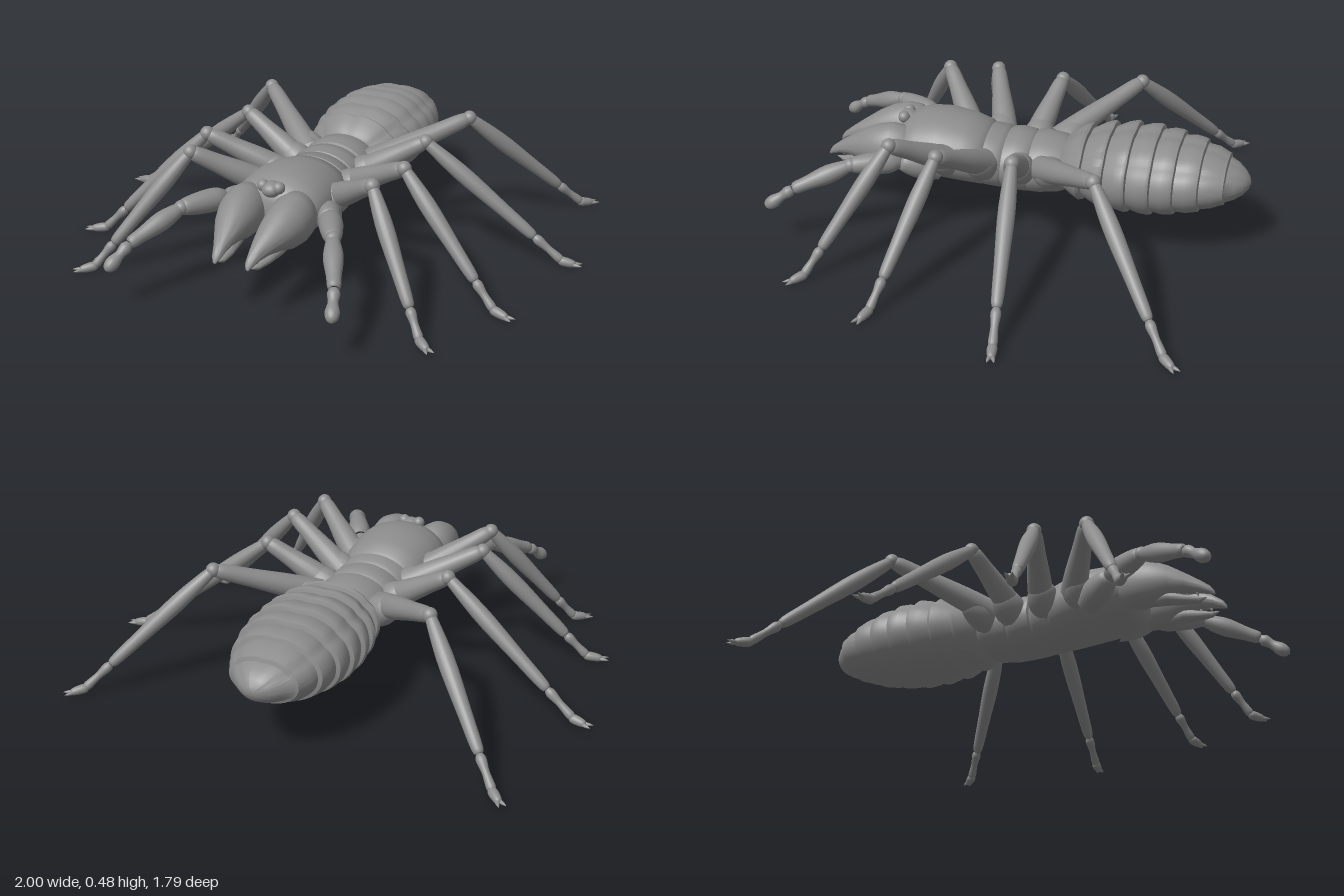
import * as THREE from 'three';
import { toCreasedNormals } from 'three/addons/utils/BufferGeometryUtils.js';

const grey = new THREE.MeshStandardMaterial({ color: 0x8c8c8c });
const V = (x, y, z) => new THREE.Vector3(x, y, z);
const UP = V(0, 1, 0);

function add(parent, name, geometry) {
  const m = new THREE.Mesh(geometry, grey);
  m.name = name;
  parent.add(m);
  return m;
}

// Skin over oval sections [z, centreX, halfWidth, top, bottom], z increasing.
// swell(angle) scales the section around its outline.
function loft(rings, swell = () => 1, n = 48) {
  const pos = [], idx = [];
  rings.forEach(([z, cx, w, top, bot], i) => {
    const cy = (top + bot) / 2, h = (top - bot) / 2;
    for (let j = 0; j < n; j++) {
      const a = (j / n) * Math.PI * 2, k = swell(a);
      pos.push(cx + Math.cos(a) * w * k, cy + Math.sin(a) * h * k, z);
      if (i === rings.length - 1) continue;
      const p = i * n + j, q = i * n + ((j + 1) % n);
      idx.push(p, q, p + n, q, q + n, p + n);
    }
  });
  const g = new THREE.BufferGeometry();
  g.setAttribute('position', new THREE.Float32BufferAttribute(pos, 3));
  g.setIndex(idx);
  return toCreasedNormals(g, 0.75);
}

// Round limb segment from a to b, with profile [fraction along, radius]
function limb(parent, name, a, b, profile) {
  const d = b.clone().sub(a), len = d.length();
  const curve = new THREE.SplineCurve(profile.map(([t, r]) => new THREE.Vector2(r, t * len)));
  const pts = curve.getPoints(16).map(p => new THREE.Vector2(Math.max(p.x, 0), p.y));
  const m = add(parent, name, new THREE.LatheGeometry(pts, 20));
  m.position.copy(a);
  m.quaternion.setFromUnitVectors(UP, d.normalize());
  return m;
}

function ball(parent, name, p, rx, ry = rx, rz = rx) {
  const m = add(parent, name, new THREE.SphereGeometry(1, 20, 14));
  m.position.copy(p);
  m.scale.set(rx, ry, rz);
  return m;
}

// Abdomen of overlapping ringed plates
function abdomen() {
  // plate borders from tail to waist: [z, halfWidth, top, bottom]
  const B = [[-0.81, 0.135, 0.375, 0.205], [-0.72, 0.18, 0.415, 0.17], [-0.63, 0.205, 0.435, 0.15],
    [-0.545, 0.218, 0.447, 0.138], [-0.455, 0.219, 0.45, 0.136], [-0.365, 0.207, 0.44, 0.142],
    [-0.275, 0.184, 0.423, 0.157], [-0.19, 0.15, 0.395, 0.18]];
  const rings = [[-0.9, 0, 0.001, 0.286, 0.284], [-0.893, 0, 0.03, 0.307, 0.262],
    [-0.875, 0, 0.062, 0.328, 0.24], [-0.845, 0, 0.097, 0.35, 0.222]];
  const d = 0.013;
  B.forEach(([z, w, t, b], i) => {
    // tucked front of the plate behind, then the raised rim of this plate
    rings.push([z - 0.004, 0, w - d, t - d, b + d * 0.6]);
    if (i === B.length - 1) return;
    const [z2, w2, t2, b2] = B[i + 1];
    rings.push([z, 0, w + 0.002, t + 0.002, b - 0.002]);
    rings.push([z + 0.012, 0, w + 0.007, t + 0.006, b - 0.005]);
    rings.push([(z + z2) / 2, 0, (w + w2) / 2 + 0.003, (t + t2) / 2 + 0.002, (b + b2) / 2 - 0.002]);
  });
  rings.push([-0.16, 0, 0.08, 0.34, 0.23], [-0.15, 0, 0.001, 0.286, 0.284]);
  const groove = a => {
    const u = Math.abs(a - Math.PI / 2);
    return 1 - 0.045 * Math.exp(-((u / 0.16) ** 2)) - 0.035 * Math.exp(-(((u - 0.9) / 0.12) ** 2));
  };
  return loft(rings, groove, 72);
}

// Claw-tipped walking leg
function leg(root, s, name, hip, knee, heel, tip) {
  const g = new THREE.Group();
  g.name = name;
  root.add(g);
  const [h, k, e, t] = [hip, knee, heel, tip].map(p => V(p[0] * s, p[1], p[2]));
  const inner = V(h.x * 0.55, h.y - 0.05, h.z);
  limb(g, 'coxa', inner, h.clone().lerp(k, 0.25), [[0, 0.05], [0.5, 0.062], [0.85, 0.05], [1, 0.03]]);
  limb(g, 'femur', h, k, [[0, 0.05], [0.3, 0.046], [0.65, 0.036], [0.92, 0.03], [1, 0.018]]);
  ball(g, 'knee', k, 0.028);
  const ankle = k.clone().lerp(e, 0.8);
  limb(g, 'tibia', k, ankle, [[0, 0.018], [0.08, 0.024], [0.35, 0.032], [0.7, 0.026], [0.96, 0.021], [1, 0.01]]);
  limb(g, 'metatarsus', ankle, e, [[0, 0.012], [0.15, 0.019], [0.5, 0.014], [0.9, 0.017], [1, 0.012]]);
  // flat foot with a pair of claws
  const dir = V(t.x - e.x, 0, t.z - e.z).normalize(), side = V(-dir.z, 0, dir.x);
  const toe = t.clone().addScaledVector(dir, -0.025);
  limb(g, 'foot', e.clone().addScaledVector(dir, -0.015), toe,
    [[0, 0.004], [0.2, 0.017], [0.6, 0.017], [0.9, 0.012], [1, 0]]);
  for (const c of [-1, 1])
    limb(g, 'claw', toe.clone().addScaledVector(dir, -0.012).addScaledVector(side, c * 0.005),
      t.clone().addScaledVector(side, c * 0.014), [[0, 0.008], [0.5, 0.006], [1, 0]]);
}

export function createModel() {
  const root = new THREE.Group();
  root.name = 'arachnid';

  add(root, 'abdomen', abdomen());

  // Hull, three narrow back plates and the domed head shield
  add(root, 'thorax', loft([
    [-0.25, 0, 0.001, 0.281, 0.279], [-0.24, 0, 0.1, 0.35, 0.2], [-0.19, 0, 0.128, 0.368, 0.17],
    [-0.17, 0, 0.14, 0.378, 0.163], [-0.1, 0, 0.15, 0.385, 0.152], [-0.065, 0, 0.148, 0.38, 0.15],
    [-0.06, 0, 0.138, 0.368, 0.15], [-0.045, 0, 0.15, 0.38, 0.15], [0.0, 0, 0.153, 0.385, 0.15],
    [0.04, 0, 0.15, 0.38, 0.152], [0.045, 0, 0.14, 0.37, 0.152], [0.06, 0, 0.153, 0.384, 0.153],
    [0.115, 0, 0.155, 0.388, 0.156], [0.12, 0, 0.146, 0.377, 0.157], [0.135, 0, 0.162, 0.395, 0.158],
    [0.2, 0, 0.174, 0.415, 0.163], [0.3, 0, 0.18, 0.43, 0.17], [0.38, 0, 0.177, 0.424, 0.18],
    [0.43, 0, 0.165, 0.407, 0.19], [0.465, 0, 0.135, 0.38, 0.21], [0.48, 0, 0.08, 0.345, 0.245],
    [0.485, 0, 0.001, 0.301, 0.299]], () => 1, 56));

  // Eye mound
  ball(root, 'eyeMound', V(0, 0.385, 0.455), 0.038, 0.03, 0.04);

  for (const s of [1, -1]) {
    const side = s > 0 ? 'left' : 'right';
    ball(root, side + 'Eye', V(s * 0.032, 0.397, 0.462), 0.023);

    // Jaw: swollen base, hooked upper finger and lower finger
    const jaw = new THREE.Group();
    jaw.name = side + 'Jaw';
    root.add(jaw);
    add(jaw, 'upperJaw', loft([
      [0.4, 0.1 * s, 0.001, 0.301, 0.299], [0.405, 0.1 * s, 0.05, 0.36, 0.24],
      [0.44, 0.1 * s, 0.075, 0.39, 0.208], [0.49, 0.098 * s, 0.083, 0.395, 0.2],
      [0.55, 0.095 * s, 0.078, 0.38, 0.205], [0.61, 0.088 * s, 0.063, 0.35, 0.222],
      [0.67, 0.078 * s, 0.043, 0.31, 0.23], [0.72, 0.07 * s, 0.026, 0.275, 0.225],
      [0.755, 0.066 * s, 0.016, 0.247, 0.214], [0.768, 0.065 * s, 0.008, 0.228, 0.209],
      [0.772, 0.065 * s, 0.001, 0.214, 0.212]], () => 1, 32));
    add(jaw, 'lowerJaw', loft([
      [0.54, 0.09 * s, 0.03, 0.265, 0.2], [0.6, 0.085 * s, 0.034, 0.25, 0.196],
      [0.66, 0.076 * s, 0.026, 0.225, 0.19], [0.71, 0.069 * s, 0.014, 0.21, 0.188],
      [0.74, 0.066 * s, 0.001, 0.206, 0.204]], () => 1, 20));
    for (let i = 0; i < 2; i++)
      limb(jaw, 'tooth', V(0.075 * s, 0.245, 0.66 + i * 0.04), V(0.072 * s, 0.21, 0.67 + i * 0.04),
        [[0, 0.009], [0.5, 0.006], [1, 0]]);

    // Feeler arm ending in a soft knob
    const arm = new THREE.Group();
    arm.name = side + 'Feeler';
    root.add(arm);
    const P = [[0.13, 0.25, 0.29], [0.215, 0.3, 0.42], [0.305, 0.305, 0.585], [0.405, 0.225, 0.785], [0.437, 0.165, 0.87]]
      .map(p => V(p[0] * s, p[1], p[2]));
    limb(arm, 'base', P[0], P[1], [[0, 0.05], [0.5, 0.055], [0.9, 0.038], [1, 0.02]]);
    limb(arm, 'upperArm', P[1], P[2], [[0, 0.028], [0.2, 0.043], [0.55, 0.042], [0.92, 0.032], [1, 0.02]]);
    ball(arm, 'elbow', P[2], 0.028);
    limb(arm, 'forearm', P[2], P[3], [[0, 0.02], [0.12, 0.028], [0.4, 0.036], [0.75, 0.027], [0.95, 0.024], [1, 0.015]]);
    limb(arm, 'knob', P[3], P[4].clone().lerp(P[3], -0.2),
      [[0, 0.014], [0.15, 0.023], [0.4, 0.018], [0.7, 0.026], [0.92, 0.018], [1, 0]]);

    // Walking legs: hip, knee, heel, tip
    leg(root, s, side + 'FrontLeg', [0.15, 0.3, 0.24], [0.37, 0.445, 0.4], [0.66, 0.022, 0.645], [0.725, 0.01, 0.7]);
    leg(root, s, side + 'SecondLeg', [0.14, 0.3, 0.1], [0.41, 0.445, 0.205], [0.815, 0.022, 0.33], [0.9, 0.01, 0.358]);
    leg(root, s, side + 'ThirdLeg', [0.14, 0.3, -0.03], [0.38, 0.445, -0.075], [0.915, 0.022, -0.157], [0.995, 0.01, -0.172]);
    leg(root, s, side + 'BackLeg', [0.13, 0.3, -0.12], [0.44, 0.445, -0.39], [0.82, 0.022, -0.73], [0.88, 0.01, -0.79]);
  }
  return root;
}
